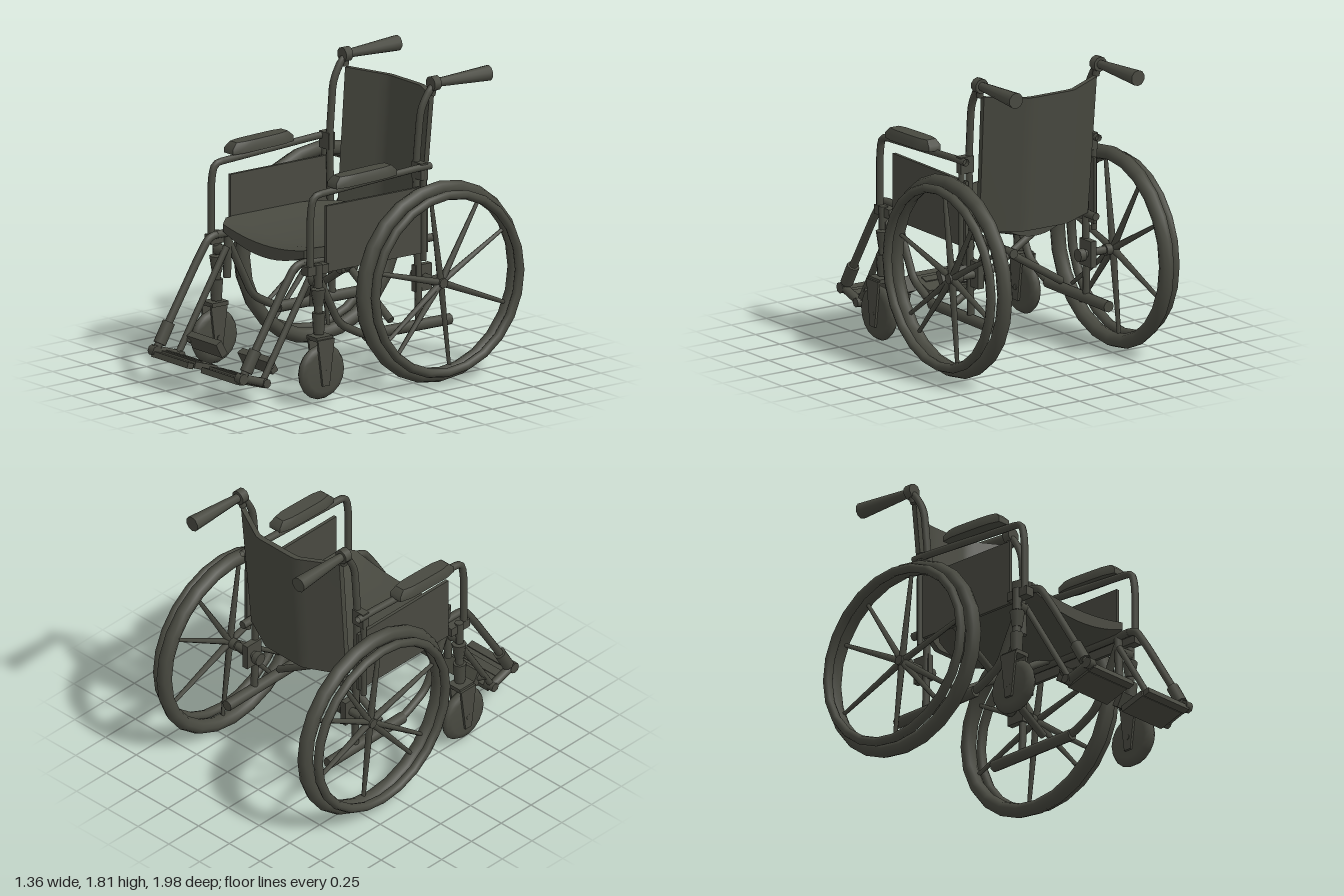
import * as THREE from 'three';

const V = (x, y, z) => new THREE.Vector3(x, y, z);

export function createModel() {
  const root = new THREE.Group();
  const mat = new THREE.MeshStandardMaterial({ color: 0x484940, side: THREE.DoubleSide });
  mat.name = 'charcoal';

  const add = (parent, name, geo) => {
    const m = new THREE.Mesh(geo, mat);
    m.name = name;
    parent.add(m);
    return m;
  };
  const group = (name) => {
    const g = new THREE.Group();
    g.name = name;
    root.add(g);
    return g;
  };
  // Capped, optionally tapered rod between two points
  const rod = (parent, name, a, b, r0, r1 = r0, sides = 8) => {
    const d = b.clone().sub(a);
    const m = add(parent, name, new THREE.CylinderGeometry(r1, r0, d.length(), sides));
    m.position.copy(a).addScaledVector(d, 0.5);
    m.quaternion.setFromUnitVectors(V(0, 1, 0), d.normalize());
    return m;
  };
  // Bent pipe with small rounded corners
  const pipe = (parent, name, pts, r, bend = 0.06) => {
    const path = new THREE.CurvePath();
    let from = pts[0];
    for (let i = 1; i < pts.length - 1; i++) {
      const p = pts[i];
      const a = p.clone().add(pts[i - 1].clone().sub(p).setLength(bend));
      const b = p.clone().add(pts[i + 1].clone().sub(p).setLength(bend));
      path.add(new THREE.LineCurve3(from, a));
      path.add(new THREE.QuadraticBezierCurve3(a, p, b));
      from = b;
    }
    path.add(new THREE.LineCurve3(from, pts[pts.length - 1]));
    return add(parent, name, new THREE.TubeGeometry(path, 40, r, 8));
  };
  const box = (parent, name, w, h, d, p, rx = 0) => {
    const m = add(parent, name, new THREE.BoxGeometry(w, h, d));
    m.position.copy(p);
    m.rotation.x = rx;
    return m;
  };
  // Move every vertex of a unit box by a rule
  const shape = (geo, rule) => {
    const p = geo.attributes.position;
    for (let i = 0; i < p.count; i++) p.setXYZ(i, ...rule(p.getX(i) * 2, p.getY(i) * 2, p.getZ(i) * 2));
    geo.computeVertexNormals();
    return geo;
  };

  // Sagging seat with rounded front corners and a narrower rear edge
  add(root, 'seat', shape(new THREE.BoxGeometry(1, 1, 1, 12, 1, 16), (u, v, w) => {
    const z = 0.02 + w * 0.45;
    const half = z < -0.3 ? 0.38 - (-0.3 - z) * 1.23 : z < -0.18 ? 0.44 - (-0.18 - z) * 0.5
      : z > 0.4 ? 0.44 - (z - 0.4) * 0.8 : 0.44;
    const sag = 1 - u * u;
    const top = 0.915 - 0.045 * sag - (z > 0.42 ? 0.02 : 0);
    return [u * half, v > 0 ? top : 0.85 - 0.075 * sag, z];
  }));

  // Sling backrest bowed to the rear
  add(root, 'backrest', shape(new THREE.BoxGeometry(1, 1, 1, 20, 8, 1), (u, v, w) => {
    const t = (v + 1) / 2;
    const bow = Math.min(1, (1 - Math.abs(u)) / 0.62);
    return [u * (0.385 + 0.015 * t), 0.85 + t * (0.84 - 0.015 * bow), -0.395 - 0.07 * t - 0.125 * bow + w * 0.017];
  }));

  // Folding cross braces with pivot
  const cross = group('crossBrace');
  for (const s of [1, -1]) {
    rod(cross, 'braceBar', V(-s * 0.39, 0.37, -0.15 + s * 0.02), V(s * 0.41, 0.86, -0.15 + s * 0.02), 0.023);
  }
  rod(cross, 'bracePivot', V(0, 0.612, -0.21), V(0, 0.612, -0.09), 0.03);

  for (const s of [1, -1]) {
    const side = s > 0 ? 'left' : 'right';
    const P = (x, y, z) => V(s * x, y, z);

    // Rear wheel: tyre, hand rim, hub and spokes
    const wheel = group(side + 'RearWheel');
    const ring = (name, R, r, x) => {
      const m = add(wheel, name, new THREE.TorusGeometry(R, r, 8, 24));
      m.rotation.y = Math.PI / 2;
      m.position.copy(P(x, 0.61, -0.385));
    };
    ring('tyre', 0.563, 0.045, 0.573);
    ring('handRim', 0.535, 0.028, 0.652);
    rod(wheel, 'hub', P(0.51, 0.6, -0.4), P(0.6, 0.6, -0.4), 0.035, 0.03, 10);
    rod(wheel, 'axle', P(0.33, 0.6, -0.4), P(0.55, 0.6, -0.4), 0.025);
    for (const deg of [97, 57, 27, -23, -82, -128, -142, 165]) {
      const a = THREE.MathUtils.degToRad(deg);
      rod(wheel, 'spoke', P(0.57, 0.6, -0.4),
        P(0.573, 0.61 + Math.sin(a) * 0.535, -0.385 - Math.cos(a) * 0.535), 0.022, 0.012, 6);
    }

    // Back post and push handle
    const back = group(side + 'BackPost');
    pipe(back, 'backTube', [P(0.41, 0.32, -0.36), P(0.41, 1.28, -0.34), P(0.415, 1.62, -0.37),
      P(0.42, 1.755, -0.45), P(0.42, 1.76, -0.52)], 0.022);
    rod(back, 'pushHandle', P(0.42, 1.762, -0.47), P(0.432, 1.762, -0.86), 0.025, 0.048, 10);
    rod(back, 'handleCollar', P(0.42, 1.762, -0.44), P(0.42, 1.762, -0.49), 0.045, 0.045, 10);
    rod(back, 'strapPost', P(0.41, 1.69, -0.455), P(0.42, 1.75, -0.465), 0.022);
    box(back, 'armClamp', 0.09, 0.1, 0.05, P(0.44, 1.26, -0.345));
    box(back, 'axlePlate', 0.04, 0.16, 0.12, P(0.4, 0.6, -0.39));
    rod(back, 'axleNut', P(0.32, 0.595, -0.4), P(0.36, 0.595, -0.4), 0.04);

    // Armrest, pad and skirt panel
    const arm = group(side + 'Armrest');
    pipe(arm, 'armTube', [P(0.47, 1.285, -0.4), P(0.47, 1.285, -0.3), P(0.47, 1.245, 0.47),
      P(0.47, 1.13, 0.49), P(0.47, 0.8, 0.49)], 0.022, 0.05);
    add(arm, 'armPad', shape(new THREE.BoxGeometry(1, 1, 1, 4, 2, 6), (u, v, w) => {
      const end = 1 - 0.3 * Math.abs(w) ** 6;
      const slim = v > 0 ? 0.75 : 1;
      const z = 0.12 + w * (v > 0 ? 0.19 : 0.225);
      return [s * 0.49 + u * 0.06 * end * slim, 1.32 + v * 0.033 - z * 0.03, z];
    }));
    box(arm, 'skirtPanel', 0.02, 0.4, 0.75, P(0.455, 0.965, -0.01));
    rod(arm, 'rearArmPost', P(0.47, 0.72, -0.35), P(0.47, 1.28, -0.35), 0.018);
    box(arm, 'armSocket', 0.06, 0.055, 0.155, P(0.46, 0.795, 0.445));

    // Side frame
    const frame = group(side + 'Frame');
    rod(frame, 'seatRail', P(0.41, 0.83, 0.5), P(0.41, 0.83, -0.46), 0.025);
    pipe(frame, 'lowerTube', [P(0.41, 0.78, 0.41), P(0.41, 0.42, 0.23), P(0.41, 0.325, 0.05),
      P(0.41, 0.31, -0.3)], 0.024);
    rod(frame, 'lowerRail', P(0.41, 0.32, 0.04), P(0.41, 0.315, -0.59), 0.035);
    rod(frame, 'frontPost', P(0.41, 0.82, 0.41), P(0.41, 0.56, 0.42), 0.024);

    // Swivelling front castor
    const castor = group(side + 'Castor');
    rod(castor, 'castorBracket', P(0.41, 0.72, 0.43), P(0.48, 0.72, 0.44), 0.035);
    rod(castor, 'castorHousing', P(0.48, 0.69, 0.44), P(0.48, 0.83, 0.44), 0.027);
    rod(castor, 'castorCollar', P(0.48, 0.58, 0.44), P(0.48, 0.68, 0.44), 0.03, 0.045);
    rod(castor, 'castorNeck', P(0.485, 0.52, 0.44), P(0.48, 0.62, 0.44), 0.025);
    rod(castor, 'castorStem', P(0.485, 0.41, 0.44), P(0.485, 0.54, 0.44), 0.032, 0.04);
    box(castor, 'forkCrown', 0.1, 0.025, 0.12, P(0.495, 0.392, 0.44));
    for (const x of [0.462, 0.552]) {
      add(castor, 'forkBlade', shape(new THREE.BoxGeometry(1, 1, 1), (u, v, w) =>
        [s * x + u * 0.007, 0.25 + v * 0.14, 0.44 + w * (v > 0 ? 0.062 : 0.025)]));
    }
    const tread = [[0.02, -0.036], [0.12, -0.033], [0.152, -0.024], [0.167, 0],
      [0.152, 0.024], [0.12, 0.033], [0.02, 0.036]].map(([r, h]) => new THREE.Vector2(r, h));
    const cw = add(castor, 'castorWheel', new THREE.LatheGeometry(tread, 18));
    cw.rotation.z = Math.PI / 2;
    cw.position.copy(P(0.508, 0.188, 0.44));
    rod(castor, 'castorAxle', P(0.45, 0.188, 0.44), P(0.56, 0.188, 0.44), 0.018);

    // Leg rest and footplate
    const leg = group(side + 'LegRest');
    pipe(leg, 'legTube', [P(0.41, 0.83, 0.44), P(0.41, 0.83, 0.55), P(0.41, 0.7, 0.64), P(0.41, 0.2, 0.95)], 0.024, 0.05);
    rod(leg, 'legSleeve', P(0.41, 0.36, 0.85), P(0.41, 0.24, 0.92), 0.038);
    rod(leg, 'legStrut', P(0.4, 0.75, 0.43), P(0.4, 0.16, 0.79), 0.02);
    rod(leg, 'footHanger', P(0.41, 0.215, 0.97), P(0.41, 0.15, 0.77), 0.026);
    rod(leg, 'hangerCap', P(0.385, 0.205, 0.955), P(0.435, 0.205, 0.955), 0.034);
    rod(leg, 'hangerPivot', P(0.37, 0.155, 0.785), P(0.44, 0.155, 0.785), 0.028);
    box(leg, 'footPlate', 0.33, 0.04, 0.17, P(0.23, 0.16, 0.845), -0.3);
    box(leg, 'toeBar', 0.34, 0.035, 0.045, P(0.235, 0.185, 0.96), -0.3);
    box(leg, 'plateRib', 0.3, 0.03, 0.05, P(0.25, 0.18, 0.87), -0.3);
    box(leg, 'heelBar', 0.28, 0.095, 0.045, P(0.24, 0.235, 0.7), 0.5);
    rod(leg, 'heelMount', P(0.37, 0.235, 0.71), P(0.41, 0.25, 0.735), 0.02);
  }
  return root;
}
